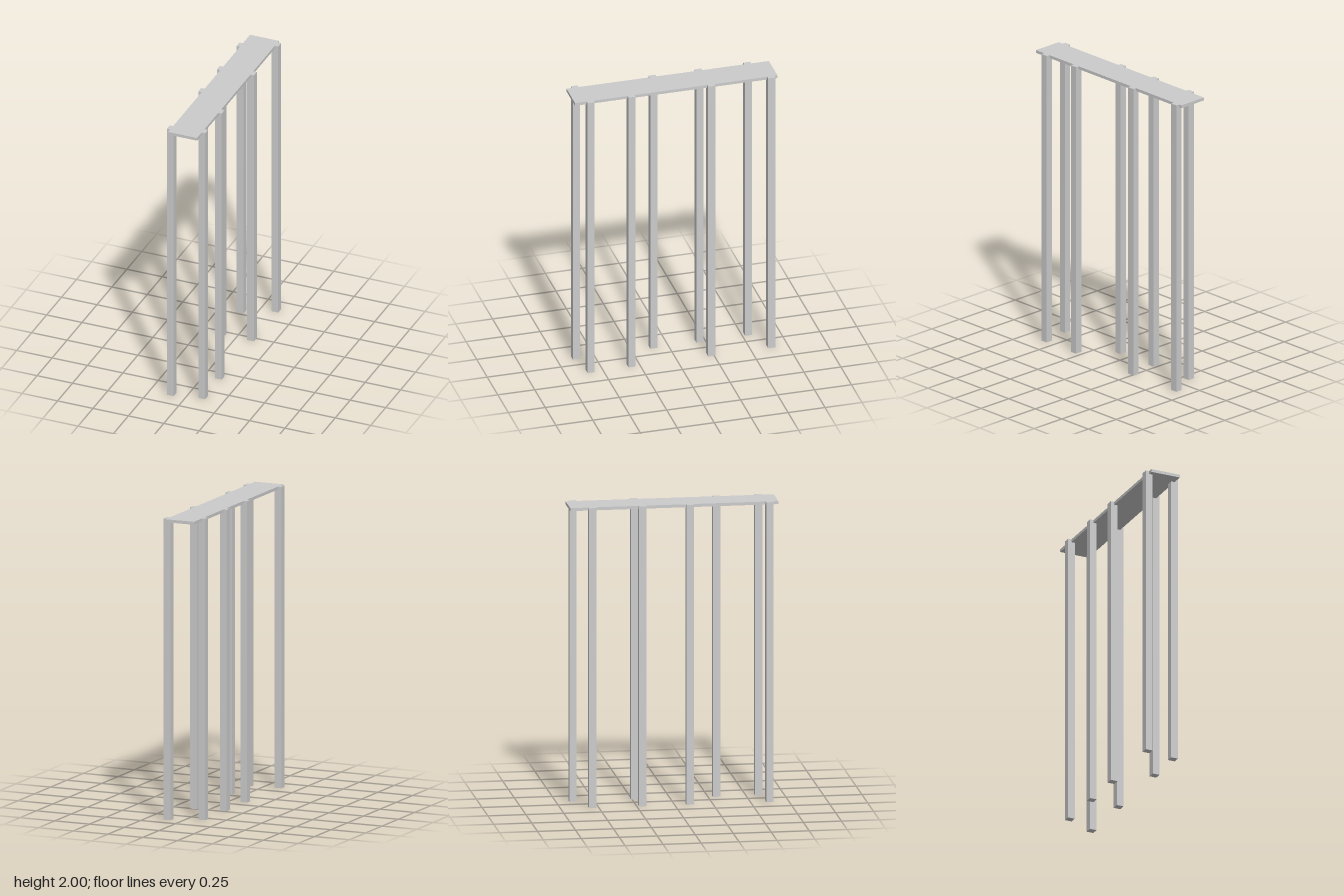
import * as THREE from 'three';

const HEIGHT = 2;
const POST = 0.048; // square post width
const HALF_WIDTH = 0.102; // half the deck width; posts are centred on the deck edges

export function createModel() {
  const model = new THREE.Group();
  const material = new THREE.MeshStandardMaterial({ color: 0xcccccc, flatShading: true });

  // Thin deck board along z
  const thickness = 0.02;
  const deck = new THREE.Mesh(new THREE.BoxGeometry(HALF_WIDTH * 2, thickness, 1.37), material);
  deck.name = 'deck';
  deck.position.y = HEIGHT - thickness / 2;
  model.add(deck);

  // Unevenly spaced posts along each long edge, flush with the deck top
  const postGeometry = new THREE.BoxGeometry(POST, HEIGHT, POST);
  const rows = [
    { name: 'leftPost', x: HALF_WIDTH, z: [-0.639, -0.233, 0.306, 0.583] },
    { name: 'rightPost', x: -HALF_WIDTH, z: [-0.541, -0.211, 0.1, 0.625] },
  ];
  for (const row of rows) {
    row.z.forEach((z, i) => {
      const post = new THREE.Mesh(postGeometry, material);
      post.name = `${row.name}${i + 1}`;
      post.position.set(row.x, HEIGHT / 2, z);
      model.add(post);
    });
  }
  return model;
}
